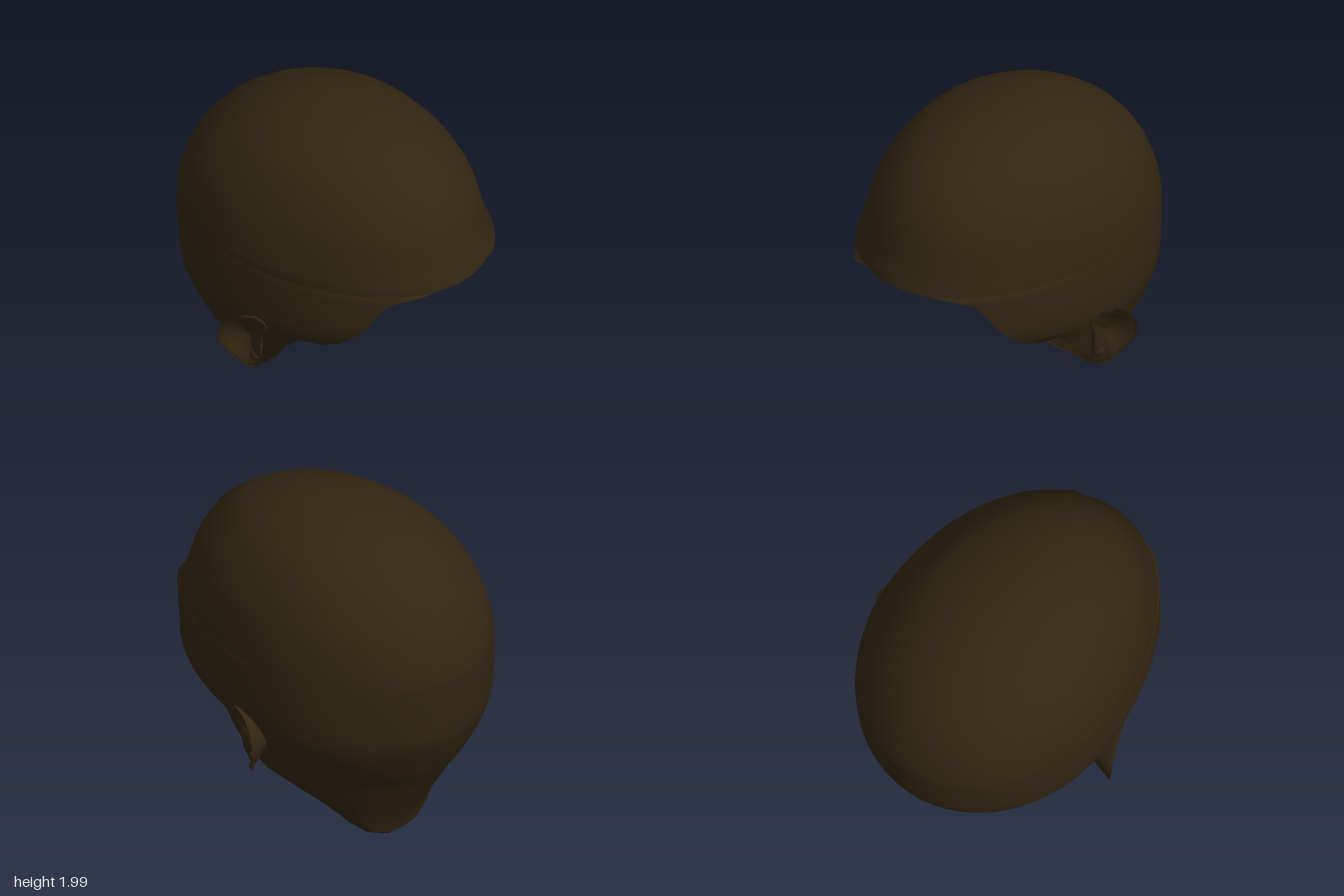
import * as THREE from 'three';
import { mergeVertices } from 'three/addons/utils/BufferGeometryUtils.js';

const hair = new THREE.MeshStandardMaterial({ color: 0x322511, side: THREE.DoubleSide });
hair.name = 'dark brown';

// Open lower part: height, back z, half width, widest z, rim x, rim z
const lowerRows = [
  [0.01, -0.52, 0.01, -0.52, 0.01, -0.52],
  [0.02, -0.525, 0.13, -0.51, 0.13, -0.51],
  [0.07, -0.54, 0.25, -0.46, 0.25, -0.46],
  [0.14, -0.57, 0.32, -0.39, 0.32, -0.39],
  [0.25, -0.63, 0.40, -0.30, 0.40, -0.30],
  [0.33, -0.68, 0.47, -0.22, 0.47, -0.22],
  [0.40, -0.72, 0.53, -0.13, 0.53, -0.13],
  [0.48, -0.77, 0.59, 0, 0.59, 0],
  [0.55, -0.82, 0.625, 0, 0.62, 0.04],
  [0.61, -0.855, 0.655, -0.05, 0.64, 0.11],
  [0.72, -0.91, 0.70, -0.1, 0.66, 0.18],
  [0.82, -0.95, 0.735, -0.1, 0.64, 0.28],
  [0.86, -0.96, 0.745, -0.1, 0.62, 0.44],
  [0.91, -0.97, 0.755, -0.1, 0.60, 0.55],
  [0.98, -0.975, 0.76, -0.1, 0.57, 0.64],
  [1.05, -0.98, 0.76, -0.1, 0.54, 0.70],
  [1.13, -0.987, 0.757, -0.1, 0.50, 0.74],
  [1.22, -0.99, 0.75, -0.1, 0.45, 0.80],
  [1.265, -0.99, 0.745, -0.1, 0.30, 0.93],
];

// Closed crown: height, back z, half width, widest z, front z
const crownRows = [
  [1.27, -0.99, 0.745, -0.1, 1.0],
  [1.33, -0.983, 0.738, -0.1, 0.97],
  [1.41, -0.96, 0.722, -0.1, 0.94],
  [1.52, -0.915, 0.695, -0.09, 0.91],
  [1.61, -0.86, 0.66, -0.08, 0.87],
  [1.72, -0.77, 0.595, -0.06, 0.80],
  [1.81, -0.66, 0.52, -0.04, 0.70],
  [1.87, -0.56, 0.45, -0.02, 0.61],
  [1.92, -0.455, 0.36, 0, 0.50],
  [1.96, -0.35, 0.26, 0.01, 0.38],
  [1.985, -0.23, 0.16, 0.02, 0.27],
  [1.998, -0.11, 0.07, 0.03, 0.16],
  [2.0, 0.02, 0.002, 0.03, 0.04],
];

// Skin a list of equally long point rows with smooth normals
function skin(rows, flip = false) {
  const n = rows[0].length;
  const index = [];
  for (let r = 0; r < rows.length - 1; r++) {
    for (let c = 0; c < n - 1; c++) {
      const a = r * n + c, b = a + 1, d = a + n, e = d + 1;
      if (flip) index.push(a, b, d, b, e, d);
      else index.push(a, d, b, b, d, e);
    }
  }
  let geo = new THREE.BufferGeometry();
  geo.setAttribute('position', new THREE.Float32BufferAttribute(rows.flat(2), 3));
  geo.setIndex(index);
  geo = mergeVertices(geo, 1e-5);
  geo.computeVertexNormals();
  return geo;
}

// Horizontal egg-shaped arc running from rim to rim around the back
function arc([y, back, w, mid, rimX, rimZ]) {
  const end = Math.PI - Math.asin(Math.min(1, rimX / w));
  const front = end - Math.PI / 2 > 1e-4 ? (rimZ - mid) / -Math.cos(end) : 0;
  const row = [], steps = 64;
  for (let i = 0; i <= steps; i++) {
    const a = end * (2 * i / steps - 1);
    const c = -Math.cos(a);
    row.push([w * Math.sin(a), y, mid + c * (c < 0 ? mid - back : front)]);
  }
  return row;
}

// Ear outline: x, y, z, from the front edge over the top to the lobe
const earOutline = [
  [0.74, 0.90, 0.13], [0.765, 0.95, 0.08], [0.80, 0.94, 0], [0.835, 0.90, -0.08],
  [0.86, 0.83, -0.13], [0.86, 0.74, -0.14], [0.82, 0.65, -0.10], [0.775, 0.58, -0.04],
  [0.71, 0.52, -0.01], [0.68, 0.53, 0.02], [0.71, 0.64, 0.06], [0.725, 0.78, 0.08],
];

function makeEar(side) {
  const curve = new THREE.CatmullRomCurve3(
    earOutline.map(p => new THREE.Vector3(...p)), true);
  const rim = curve.getPoints(40);
  // Loop scaled toward the ear centre and blended toward depth x
  const loop = (scale, depth, blend) => rim.map(p => [
    side * THREE.MathUtils.lerp(p.x, depth, blend),
    0.75 + (p.y - 0.75) * scale,
    -0.02 + (p.z + 0.02) * scale,
  ]);
  const loops = [
    loop(0.6, 0.64, 1),     // root
    loop(0.85, 0.69, 0.5),  // back of the ear
    loop(1, 0, 0),          // rim
    loop(0.88, 0.74, 0.1),
    loop(0.7, 0.735, 0.55), // bowl
    loop(0.35, 0.715, 0.9),
    loop(0.001, 0.71, 1),
  ];
  const ear = new THREE.Group();
  ear.name = side > 0 ? 'leftEar' : 'rightEar';
  const shell = new THREE.Mesh(skin(loops, side < 0), hair);
  shell.name = 'earShell';
  // Small flap at the ear opening
  const flap = new THREE.Mesh(new THREE.SphereGeometry(0.04, 14, 10), hair);
  flap.name = 'earFlap';
  flap.scale.set(0.9, 1, 0.9);
  flap.position.set(side * 0.69, 0.61, 0);
  ear.add(shell, flap);
  return ear;
}

export function createModel() {
  const model = new THREE.Group();
  model.name = 'hairCap';

  // Thin cap, open at the face and neck
  const rows = [
    ...lowerRows.map(arc),
    ...crownRows.map(([y, back, w, mid, front]) => arc([y, back, w, mid, 0, front])),
  ];
  const cap = new THREE.Mesh(skin(rows), hair);
  cap.name = 'scalpShell';
  model.add(cap);

  for (const side of [1, -1]) model.add(makeEar(side));
  return model;
}
